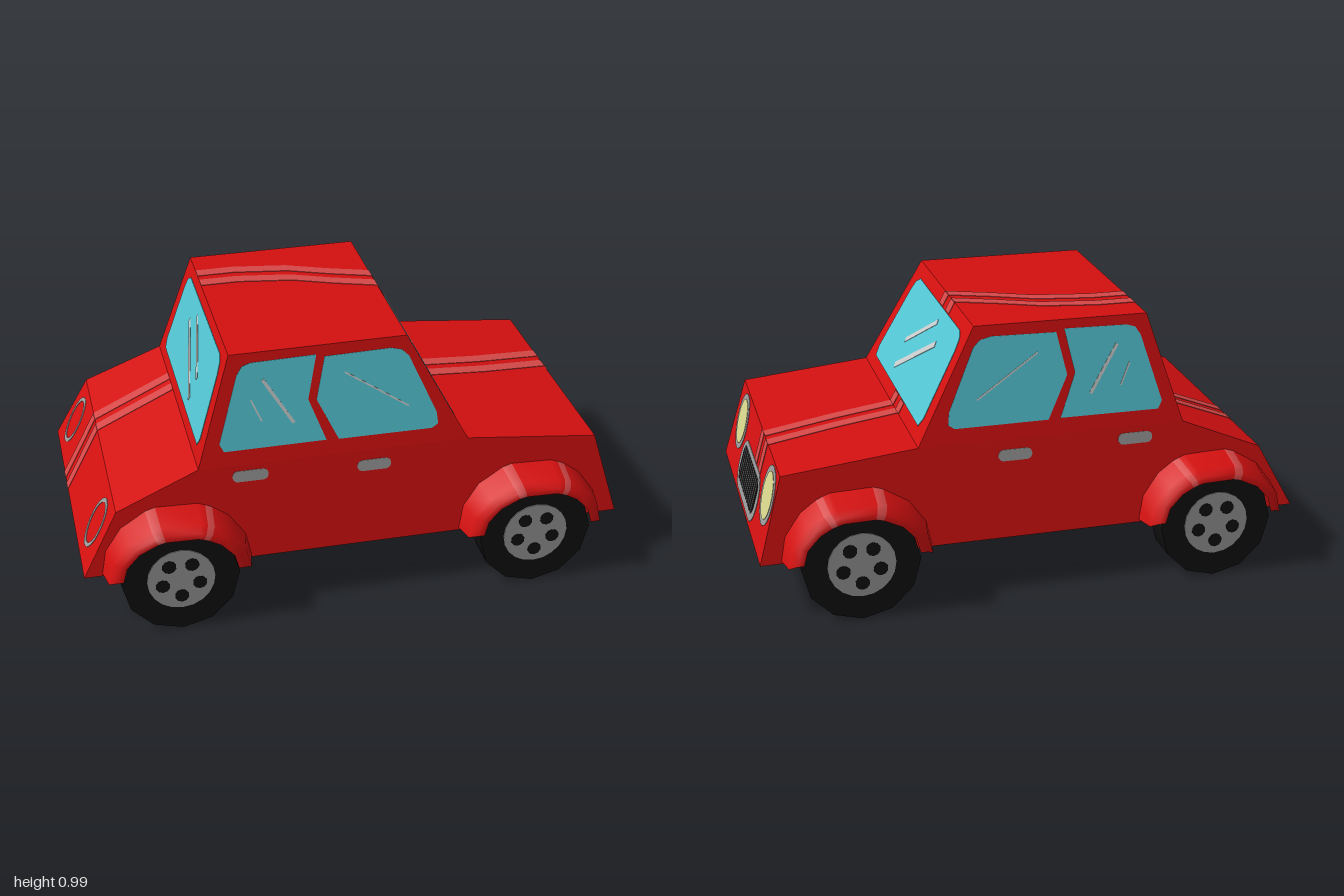
import * as THREE from 'three';

const mat = (name, color) => {
  const m = new THREE.MeshStandardMaterial({ color, side: THREE.DoubleSide });
  m.name = name;
  return m;
};

export function createModel() {
  const red = mat('red paint', 0xd41010);
  const stripeRed = mat('pale red stripe', 0xd64848);
  const glass = mat('blue glass', 0x54c6d4);
  const black = mat('black rubber', 0x101010);
  const grey = mat('grey metal', 0x9a9a9a);
  const yellow = mat('lamp yellow', 0xd8d88e);
  const glint = mat('pale glint', 0xc8cccc);

  const car = new THREE.Group();
  car.name = 'car';
  const add = (name, geo, material, parent = car) => {
    const m = new THREE.Mesh(geo, material);
    m.name = name;
    parent.add(m);
    return m;
  };

  // Body shell: side outline, open underneath, sides leaning in towards the roof
  const P = [[-1, .21], [-.87, .45], [-.57, .575], [-.44, .98], [.2, .985], [.42, .575], [.91, .525], [1, .21]];
  const halfWidth = y => y <= .575 ? .556 - .123 * y : .580 - .166 * y;
  const at = (i, s) => [P[i][0], P[i][1], s * halfWidth(P[i][1])];
  const pos = [];
  const tri = (...c) => c.forEach(v => pos.push(...v));
  for (let i = 0; i < P.length - 1; i++) {
    tri(at(i, 1), at(i + 1, 1), at(i + 1, -1));
    tri(at(i, 1), at(i + 1, -1), at(i, -1));
  }
  for (const loop of [[0, 1, 2, 5, 6, 7], [2, 3, 4, 5]]) {
    for (let k = 1; k < loop.length - 1; k++) {
      tri(at(loop[0], 1), at(loop[k + 1], 1), at(loop[k], 1));
      tri(at(loop[0], -1), at(loop[k], -1), at(loop[k + 1], -1));
    }
  }
  const shell = new THREE.BufferGeometry();
  shell.setAttribute('position', new THREE.Float32BufferAttribute(pos, 3));
  shell.computeVertexNormals();
  add('bodyShell', shell, red);

  // Planes on which flat details are laid: origin and two in-plane axes
  const V = (x, y, z) => new THREE.Vector3(x, y, z);
  const plane = (o, u, v) => {
    const n = u.clone().cross(v).normalize();
    return new THREE.Matrix4().makeBasis(u, v, n).setPosition(o);
  };
  const steep = i => { // coordinates (z, y) on the face after outline point i
    const [a, b] = [P[i], P[i + 1]], k = (b[0] - a[0]) / (b[1] - a[1]);
    return plane(V(a[0] - k * a[1], 0, 0), V(0, 0, 1), V(k, 1, 0));
  };
  const flat = i => { // coordinates (x, z)
    const [a, b] = [P[i], P[i + 1]], k = (b[1] - a[1]) / (b[0] - a[0]);
    return plane(V(0, a[1] - k * a[0], 0), V(1, k, 0), V(0, 0, 1));
  };
  const sideUpper = s => plane(V(0, 0, s * .580), V(1, 0, 0), V(0, 1, -s * .166));
  const sideLower = s => plane(V(0, 0, s * .556), V(1, 0, 0), V(0, 1, -s * .123));

  const LOW = .004, MID = .007, HIGH = .0095;
  const plate = (name, shape, material, frame, depth = LOW) => {
    const g = new THREE.ExtrudeGeometry(shape, { depth, bevelEnabled: false, curveSegments: 10 });
    g.translate(0, 0, -depth / 2).applyMatrix4(frame);
    return add(name, g, material);
  };
  const poly = pts => new THREE.Shape(pts.map(p => new THREE.Vector2(...p)));
  const oval = (x, y, rx, ry, Type = THREE.Shape) => new Type().absellipse(x, y, rx, ry, 0, Math.PI * 2);
  const roundRect = (x0, y0, x1, y1, r) => {
    const s = new THREE.Shape();
    s.absarc(x1 - r, y1 - r, r, 0, Math.PI / 2);
    s.absarc(x0 + r, y1 - r, r, Math.PI / 2, Math.PI);
    s.absarc(x0 + r, y0 + r, r, Math.PI, Math.PI * 1.5);
    s.absarc(x1 - r, y0 + r, r, Math.PI * 1.5, Math.PI * 2);
    return s;
  };
  const line = (x0, y0, x1, y1, w) => {
    const l = Math.hypot(x1 - x0, y1 - y0), dx = -(y1 - y0) / l * w / 2, dy = (x1 - x0) / l * w / 2;
    return poly([[x0 - dx, y0 - dy], [x1 - dx, y1 - dy], [x1 + dx, y1 + dy], [x0 + dx, y0 + dy]]);
  };

  // Windscreen and rear window
  for (const [name, i] of [['windscreen', 4], ['rearWindow', 2]]) {
    const f = steep(i);
    const half = [[.385, .618], [.402, .65], [.37, .88], [.355, .92], [.32, .94]];
    plate(name, poly([...half, ...half.map(([z, y]) => [-z, y]).reverse()]), glass, f);
    plate(name + 'Glint', line(.15, .755, -.08, .895, .018), glint, f, MID);
    plate(name + 'Glint', line(.13, .665, -.165, .84, .022), glint, f, MID);
  }

  // Side windows and door handles
  for (const s of [1, -1]) {
    const up = sideUpper(s), low = sideLower(s);
    plate('rearSideWindow', poly([[-.475, .63], [-.49, .66], [-.415, .905], [-.395, .935], [-.365, .945],
      [-.13, .95], [-.165, .79], [-.105, .632]]), glass, up);
    plate('frontSideWindow', poly([[-.06, .63], [.285, .63], [.308, .645], [.303, .69], [.205, .91],
      [.18, .935], [.14, .945], [-.10, .94], [-.135, .785]]), glass, up);
    plate('sideGlint', line(-.325, .88, -.22, .71, .012), glint, up, MID);
    plate('sideGlint', line(-.37, .81, -.335, .73, .006), glint, up, MID);
    plate('sideGlint', line(-.03, .875, .2, .725, .006), glint, up, MID);
    plate('rearDoorHandle', roundRect(-.45, .51, -.32, .552, .02), grey, low);
    plate('frontDoorHandle', roundRect(.005, .495, .13, .537, .02), grey, low);
  }

  // Headlamps, tail lamp rings and grille
  const nose = steep(6), tail = steep(0);
  for (const s of [1, -1]) {
    const z = -.02 + s * .361;
    plate('headlampRim', oval(z, .41, .11, .105), grey, nose);
    plate('headlampLens', oval(z, .41, .086, .084), yellow, nose, MID);
    const ring = oval(s * .38 - .01, .335, .078, .087);
    ring.holes.push(oval(s * .38 - .01, .335, .064, .072, THREE.Path));
    plate('tailLampRing', ring, grey, tail);
  }
  plate('grilleFrame', roundRect(-.255, .225, .22, .405, .088), grey, nose);
  plate('grilleOpening', roundRect(-.215, .257, .18, .383, .04), black, nose, MID);
  for (let i = 0; i < 11; i++) {
    const z = -.185 + i * .0335;
    plate('grilleBar', line(z, .257, z, .383, .012), grey, nose, HIGH);
  }

  // Pair of pale stripes running over the car
  const ribbon = (frame, pts, gap = .085) => {
    for (const d of [0, gap]) {
      plate('stripe', poly([...pts.map(([x, z]) => [x, z + d - .025]),
        ...pts.map(([x, z]) => [x, z + d + .025]).reverse()]), stripeRed, frame);
    }
  };
  ribbon(flat(0), [[-1, -.185], [-.87, -.195]]);
  ribbon(flat(1), [[-.87, -.195], [-.57, -.225]]);
  ribbon(flat(3), [[-.44, -.265], [-.3, -.265], [-.1, -.23], [.05, -.165], [.2, -.11]]);
  ribbon(flat(5), [[.42, -.115], [.65, -.135], [.91, -.175]]);
  for (const [i, z, y0, y1] of [[4, -.115, .943, .985], [4, -.125, .575, .615], [6, -.16, .408, .525]]) {
    for (const d of [0, .095]) plate('stripe', line(z + d, y0, z + d, y1, .052), stripeRed, steep(i));
  }

  // Fender: arched cross-sections from the body out to a lip around the wheel
  const angles = [0, 22, 45, 60, 66, 72, 104, 112, 135, 158, 180];
  const rows = [[.28, .25, .215, .47], [.255, .215, .225, .61], [.23, .175, .245, .64], [.205, .15, .245, .64]];
  const fenderGeometry = s => {
    const g = new THREE.BufferGeometry(), p = [], idx = [], n = rows.length;
    for (const a of angles) {
      const t = THREE.MathUtils.degToRad(a);
      for (const [rx, ry, y, z] of rows) p.push(rx * Math.cos(t), y + ry * Math.sin(t), s * z);
    }
    for (let i = 0; i < angles.length - 1; i++) {
      const shiny = angles[i] === 60 || angles[i] === 104;
      g.addGroup(idx.length, (n - 1) * 6, shiny ? 1 : 0);
      for (let j = 0; j < n - 1; j++) {
        const a = i * n + j, b = a + 1, c = a + n, d = c + 1;
        idx.push(...(s > 0 ? [a, b, c, b, d, c] : [a, c, b, b, c, d]));
      }
    }
    g.setAttribute('position', new THREE.Float32BufferAttribute(p, 3));
    g.setIndex(idx);
    g.computeVertexNormals();
    return g;
  };

  // Wheels with five-hole hubs on both faces
  const disc = (r, h, sides) => new THREE.CylinderGeometry(r, r, h, sides).rotateX(Math.PI / 2);
  for (const [end, x] of [['rear', -.665], ['front', .655]]) {
    for (const s of [1, -1]) {
      add(end + 'Fender', fenderGeometry(s), [red, stripeRed]).position.x = x;
      const wheel = new THREE.Group();
      wheel.name = end + 'Wheel';
      wheel.position.set(x, .212, s * .55);
      add('tyre', disc(.212, .124, 12), black, wheel);
      add('hub', disc(.122, .13, 20), grey, wheel);
      for (let k = 0; k < 5; k++) {
        const a = Math.PI * (.3 + .4 * k);
        add('hubHole', disc(.026, .134, 10), black, wheel).position.set(.07 * Math.cos(a), .07 * Math.sin(a), 0);
      }
      car.add(wheel);
    }
  }
  return car;
}
